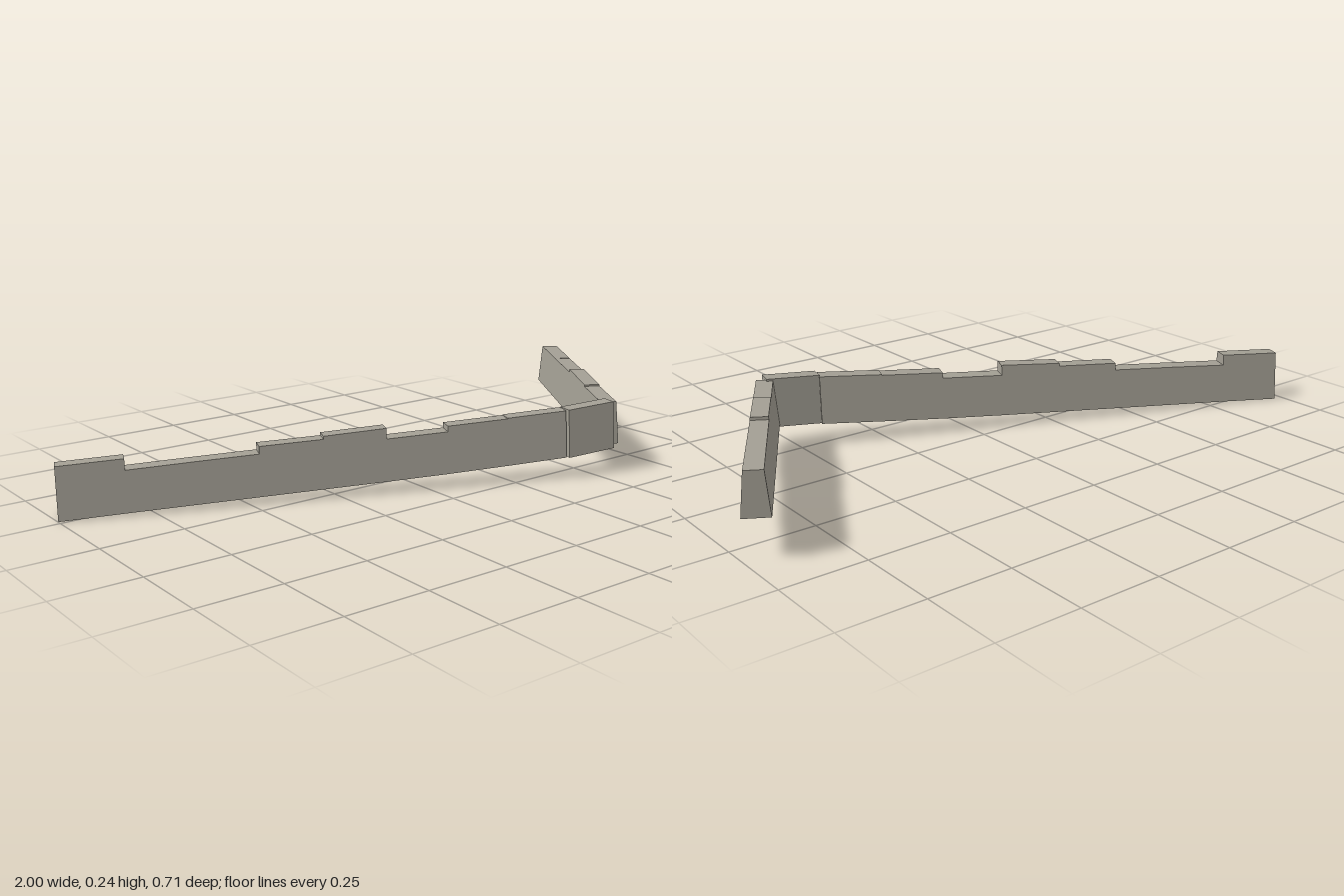
import * as THREE from 'three';

export function createModel() {
  const group = new THREE.Group();
  group.name = 'ruinedWall';
  const stone = new THREE.MeshStandardMaterial({ color: 0xa39f94 });
  stone.name = 'stone';
  stone.flatShading = true;

  const BASE = 0.038; // half thickness at the foot
  const BATTER = 0.095; // how fast the sides lean inward

  // One wall block between plan points a and b; y values run [start, end]
  function block(name, a, b, bottom, top) {
    const geo = new THREE.BoxGeometry(1, 1, 1);
    const p = geo.attributes.position;
    const dir = new THREE.Vector2().subVectors(b, a).normalize();
    for (let i = 0; i < p.count; i++) {
      const t = p.getX(i) + 0.5;
      const lo = THREE.MathUtils.lerp(bottom[0], bottom[1], t);
      const hi = THREE.MathUtils.lerp(top[0], top[1], t);
      const upper = p.getY(i) > 0;
      const half = BASE - (upper ? BATTER * (hi - lo) : 0);
      const side = Math.sign(p.getZ(i)) * half;
      p.setXYZ(i,
        THREE.MathUtils.lerp(a.x, b.x, t) - dir.y * side,
        upper ? hi : lo,
        THREE.MathUtils.lerp(a.y, b.y, t) + dir.x * side);
    }
    geo.computeVertexNormals();
    const mesh = new THREE.Mesh(geo, stone);
    mesh.name = name;
    group.add(mesh);
  }

  // A straight run of equal blocks with a curving foot line and stepped tops
  function run(name, from, to, feet, tops) {
    const a = new THREE.Vector2(...from), b = new THREE.Vector2(...to);
    const n = tops.length;
    tops.forEach((top, i) => block(name + (i + 1),
      a.clone().lerp(b, i / n), a.clone().lerp(b, (i + 1) / n),
      [feet[i], feet[i + 1]], top));
  }

  // Long arm
  run('longWallBlock', [-0.985, -0.3], [0.42, 0.273],
    [0.001, 0.009, 0.016, 0.023, 0.03, 0.037, 0.045, 0.055, 0.066],
    [[0.157, 0.165], [0.132, 0.141], [0.141, 0.149], [0.171, 0.178],
      [0.187, 0.197], [0.165, 0.173], [0.19, 0.199], [0.201, 0.211]]);

  // Corner block
  run('cornerBlock', [0.42, 0.28], [0.578, 0.316], [0.066, 0.078], [[0.214, 0.224]]);

  // Short arm
  run('shortWallBlock', [0.58, 0.312], [0.965, -0.342],
    [0.081, 0.09, 0.099, 0.108, 0.117],
    [[0.217, 0.223], [0.228, 0.239], [0.23, 0.236], [0.237, 0.243]]);

  return group;
}
